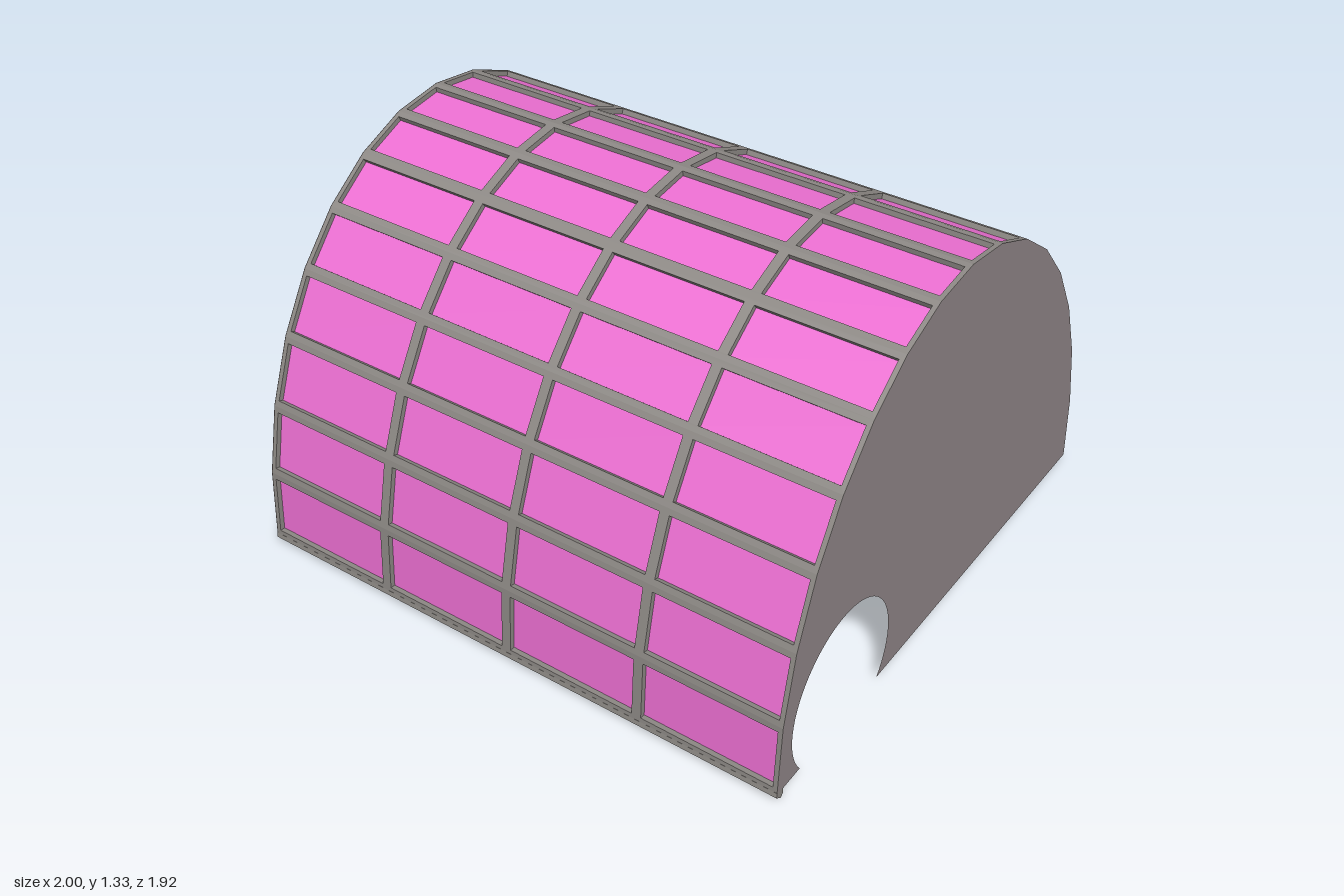
import * as THREE from 'three';

const SEGMENTS = 16, HALF_WIDTH = 0.96, BASE = 0.03, RISE = 1.295;
const FRAME_DEPTH = 0.03, PANEL_INSET = 0.018;

// Point on the half-elliptical arch as (z, y), from the front foot to the back foot
function archPoint(i) {
  const a = (Math.PI * i) / SEGMENTS;
  return new THREE.Vector2(HALF_WIDTH * Math.cos(a), BASE + RISE * Math.sin(a));
}

function rectPath(Type, x0, x1, y0, y1) {
  return new Type([[x0, y0], [x1, y0], [x1, y1], [x0, y1]].map(p => new THREE.Vector2(...p)));
}

export function createModel() {
  const model = new THREE.Group();
  const frameMat = new THREE.MeshStandardMaterial({ color: 0x8e8a86, flatShading: true });
  const wallMat = new THREE.MeshStandardMaterial({ color: 0x8f8587, side: THREE.DoubleSide });
  const panelMat = new THREE.MeshStandardMaterial({ color: 0xee70d4, flatShading: true });

  function add(parent, name, geometry, material) {
    const mesh = new THREE.Mesh(geometry, material);
    mesh.name = name;
    parent.add(mesh);
    return mesh;
  }

  // Arched roof: each flat facet is a frame with four recessed panes
  const columns = [-0.75, -0.25, 0.25, 0.75];
  for (let i = 0; i < SEGMENTS; i++) {
    const a = archPoint(i), b = archPoint(i + 1);
    const length = a.distanceTo(b);
    const hy = length / 2 - 0.021, hx = 0.233;

    const facet = new THREE.Group();
    facet.name = 'roofFacet';
    const along = new THREE.Vector3(0, b.y - a.y, b.x - a.x).normalize();
    const across = new THREE.Vector3(1, 0, 0);
    const outward = new THREE.Vector3().crossVectors(across, along);
    facet.quaternion.setFromRotationMatrix(new THREE.Matrix4().makeBasis(across, along, outward));
    facet.position.set(0, (a.y + b.y) / 2, (a.x + b.x) / 2);

    const shape = rectPath(THREE.Shape, -0.999, 0.999, -length / 2, length / 2);
    for (const x of columns) shape.holes.push(rectPath(THREE.Path, x - hx, x + hx, -hy, hy));
    const frame = new THREE.ExtrudeGeometry(shape, { depth: FRAME_DEPTH, bevelEnabled: false });
    frame.translate(0, 0, -FRAME_DEPTH);
    add(facet, 'roofFrame', frame, frameMat);

    for (const x of columns) {
      const pane = add(facet, 'roofPanel', new THREE.BoxGeometry(2 * hx, 2 * hy, 0.006), panelMat);
      pane.position.set(x, 0, -PANEL_INSET - 0.003);
    }
    model.add(facet);
  }

  // End walls: thin sheets, the left one with a round doorway open at the ground
  for (const side of [-1, 1]) {
    const outline = new THREE.Shape();
    for (let i = SEGMENTS; i >= 0; i--) {
      const p = archPoint(i);
      if (i === SEGMENTS) outline.moveTo(p.x, p.y);
      else outline.lineTo(p.x, p.y);
    }
    if (side > 0) {
      const cz = 0.615, cy = 0.19, r = 0.275;
      const dip = Math.asin((cy - BASE) / r);
      outline.absarc(cz, cy, r, -dip, Math.PI + dip, false);
    }
    outline.closePath();
    const wall = new THREE.ShapeGeometry(outline, 24);
    wall.rotateY(-Math.PI / 2);
    add(model, 'endWall', wall, wallMat).position.x = side;
  }

  // Small sill under the front edge
  const sill = new THREE.Shape([[0.93, 0.035], [0.928, 0.01], [0.94, 0], [0.963, 0.018], [0.96, 0.035]]
    .map(p => new THREE.Vector2(...p)));
  const sillGeo = new THREE.ExtrudeGeometry(sill, { depth: 2, bevelEnabled: false });
  sillGeo.translate(0, 0, -1);
  sillGeo.rotateY(-Math.PI / 2);
  add(model, 'frontSill', sillGeo, frameMat);

  return model;
}
